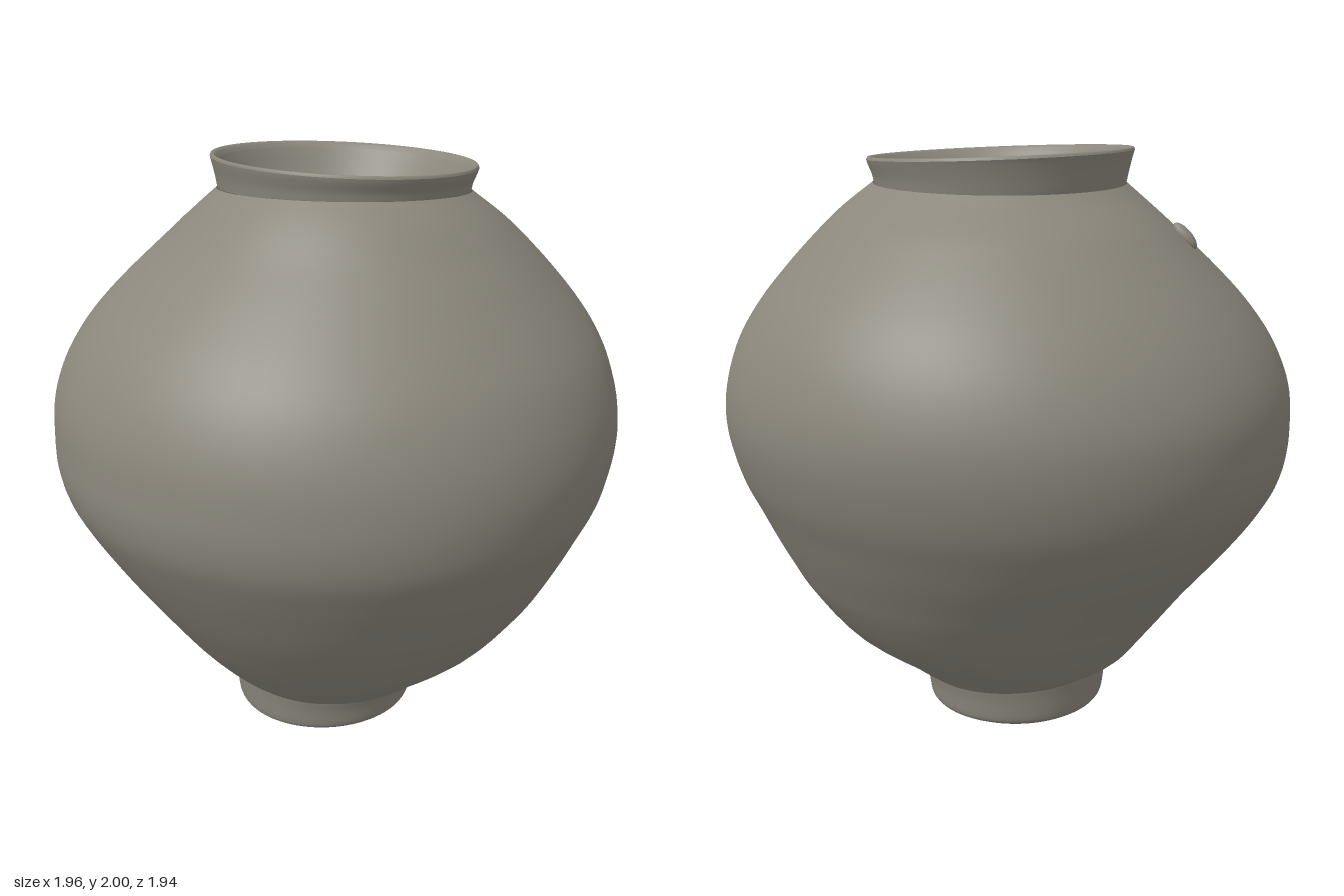
import * as THREE from 'three';

const clay = new THREE.MeshStandardMaterial({ color: 0x8b877c, side: THREE.DoubleSide });
clay.name = 'grey clay';

const SEGMENTS = 96;

// Skins slightly off-centre elliptical rings. Each row: [y, left, right, back, front].
// tilt(y) gives the lean of the ring: [rise per x, rise per z].
function ringSurface(name, rows, steps, tilt = () => [0, 0]) {
  const alongX = new THREE.CatmullRomCurve3(
    rows.map(([y, l, r]) => new THREE.Vector3(y, l, r)), false, 'catmullrom', 0.5);
  const alongZ = new THREE.CatmullRomCurve3(
    rows.map(([y, , , b, f]) => new THREE.Vector3(y, b, f)), false, 'catmullrom', 0.5);
  const count = (rows.length - 1) * steps;
  const positions = [], index = [];
  for (let i = 0; i <= count; i++) {
    const px = alongX.getPoint(i / count), pz = alongZ.getPoint(i / count);
    const [sx, sz] = tilt(px.x);
    for (let j = 0; j < SEGMENTS; j++) {
      const a = (j / SEGMENTS) * Math.PI * 2;
      const x = (px.y + px.z) / 2 + ((px.z - px.y) / 2) * Math.cos(a);
      const z = (pz.y + pz.z) / 2 + ((pz.z - pz.y) / 2) * Math.sin(a);
      positions.push(x, px.x + sx * x + sz * z, z);
      if (i < count) {
        const p = i * SEGMENTS + j, q = i * SEGMENTS + (j + 1) % SEGMENTS;
        index.push(p, p + SEGMENTS, q, q, p + SEGMENTS, q + SEGMENTS);
      }
    }
  }
  const geometry = new THREE.BufferGeometry();
  geometry.setAttribute('position', new THREE.Float32BufferAttribute(positions, 3));
  geometry.setIndex(index);
  geometry.computeVertexNormals();
  const mesh = new THREE.Mesh(geometry, clay);
  mesh.name = name;
  return mesh;
}

// The shoulder and the foot joint lean a little; the belly stays level.
function bodyTilt(y) {
  const top = THREE.MathUtils.smoothstep(y, 1.72, 1.885);
  const bottom = 1 - THREE.MathUtils.smoothstep(y, 0.13, 0.24);
  return [0.035 * top - 0.05 * bottom, 0.04 * top + 0.015 * bottom];
}

// The collar leans from its joint to its lip.
function collarTilt(y) {
  const t = THREE.MathUtils.smoothstep(y, 1.885, 1.97);
  return [THREE.MathUtils.lerp(0.035, -0.02, t), THREE.MathUtils.lerp(0.04, 0.035, t)];
}

export function createModel() {
  const jar = new THREE.Group();
  jar.name = 'jar';

  // Bulging body
  jar.add(ringSurface('body', [
    [0.135, -0.345, 0.325, -0.30, 0.386],
    [0.20, -0.425, 0.435, -0.385, 0.455],
    [0.34, -0.54, 0.61, -0.565, 0.58],
    [0.50, -0.66, 0.74, -0.69, 0.70],
    [0.60, -0.74, 0.805, -0.75, 0.77],
    [0.70, -0.82, 0.86, -0.805, 0.835],
    [0.80, -0.89, 0.91, -0.855, 0.895],
    [0.90, -0.945, 0.955, -0.905, 0.945],
    [1.00, -0.972, 0.975, -0.94, 0.968],
    [1.10, -0.98, 0.98, -0.962, 0.968],
    [1.20, -0.975, 0.967, -0.963, 0.96],
    [1.30, -0.945, 0.937, -0.943, 0.932],
    [1.40, -0.893, 0.89, -0.905, 0.883],
    [1.50, -0.82, 0.82, -0.845, 0.81],
    [1.60, -0.73, 0.738, -0.76, 0.712],
    [1.70, -0.63, 0.65, -0.66, 0.602],
    [1.80, -0.525, 0.547, -0.555, 0.488],
    [1.885, -0.425, 0.435, -0.45, 0.388],
  ], 4, bodyTilt));

  // Foot: outer wall, worn underside, inner wall and recessed base
  jar.add(ringSurface('footWall', [
    [0.012, -0.318, 0.298, -0.272, 0.363],
    [0.03, -0.328, 0.306, -0.282, 0.371],
    [0.09, -0.337, 0.314, -0.29, 0.379],
    [0.135, -0.345, 0.325, -0.30, 0.386],
  ], 3, y => [-0.05 * THREE.MathUtils.smoothstep(y, 0.05, 0.135),
    0.015 * THREE.MathUtils.smoothstep(y, 0.05, 0.135)]));
  jar.add(ringSurface('footUnderside', [
    [0.012, -0.265, 0.24, -0.22, 0.29],
    [0.0, -0.295, 0.27, -0.245, 0.335],
    [0.012, -0.318, 0.298, -0.272, 0.363],
  ], 3));
  jar.add(ringSurface('footInnerWall', [
    [0.065, -0.255, 0.225, -0.21, 0.275],
    [0.012, -0.265, 0.24, -0.22, 0.29],
  ], 2));
  jar.add(ringSurface('base', [
    [0.07, -0.015, -0.015, 0.0325, 0.0325],
    [0.065, -0.255, 0.225, -0.21, 0.275],
  ], 4));

  // Flared collar, rounded lip and inner throat
  jar.add(ringSurface('collar', [
    [1.885, -0.425, 0.428, -0.45, 0.382],
    [1.92, -0.435, 0.434, -0.457, 0.387],
    [1.96, -0.449, 0.446, -0.47, 0.397],
    [1.975, -0.455, 0.45, -0.475, 0.40],
  ], 3, collarTilt));
  jar.add(ringSurface('lip', [
    [1.975, -0.455, 0.45, -0.475, 0.40],
    [1.984, -0.449, 0.445, -0.47, 0.396],
    [1.981, -0.436, 0.434, -0.46, 0.386],
    [1.965, -0.422, 0.42, -0.445, 0.373],
  ], 3, collarTilt));
  jar.add(ringSurface('throat', [
    [1.965, -0.422, 0.42, -0.445, 0.373],
    [1.92, -0.39, 0.395, -0.417, 0.347],
    [1.88, -0.362, 0.375, -0.395, 0.325],
    [1.85, -0.362, 0.375, -0.395, 0.325],
    [1.82, -0.40, 0.41, -0.43, 0.36],
  ], 3, collarTilt));

  // Small blemish raised on the shoulder
  const blemish = new THREE.Mesh(new THREE.SphereGeometry(1, 20, 12), clay);
  blemish.name = 'blemish';
  blemish.scale.set(0.03, 0.055, 0.022);
  blemish.position.set(-0.558, 1.715, 0.245);
  blemish.lookAt(-1.2, 2.35, 0.52);
  jar.add(blemish);

  return jar;
}
